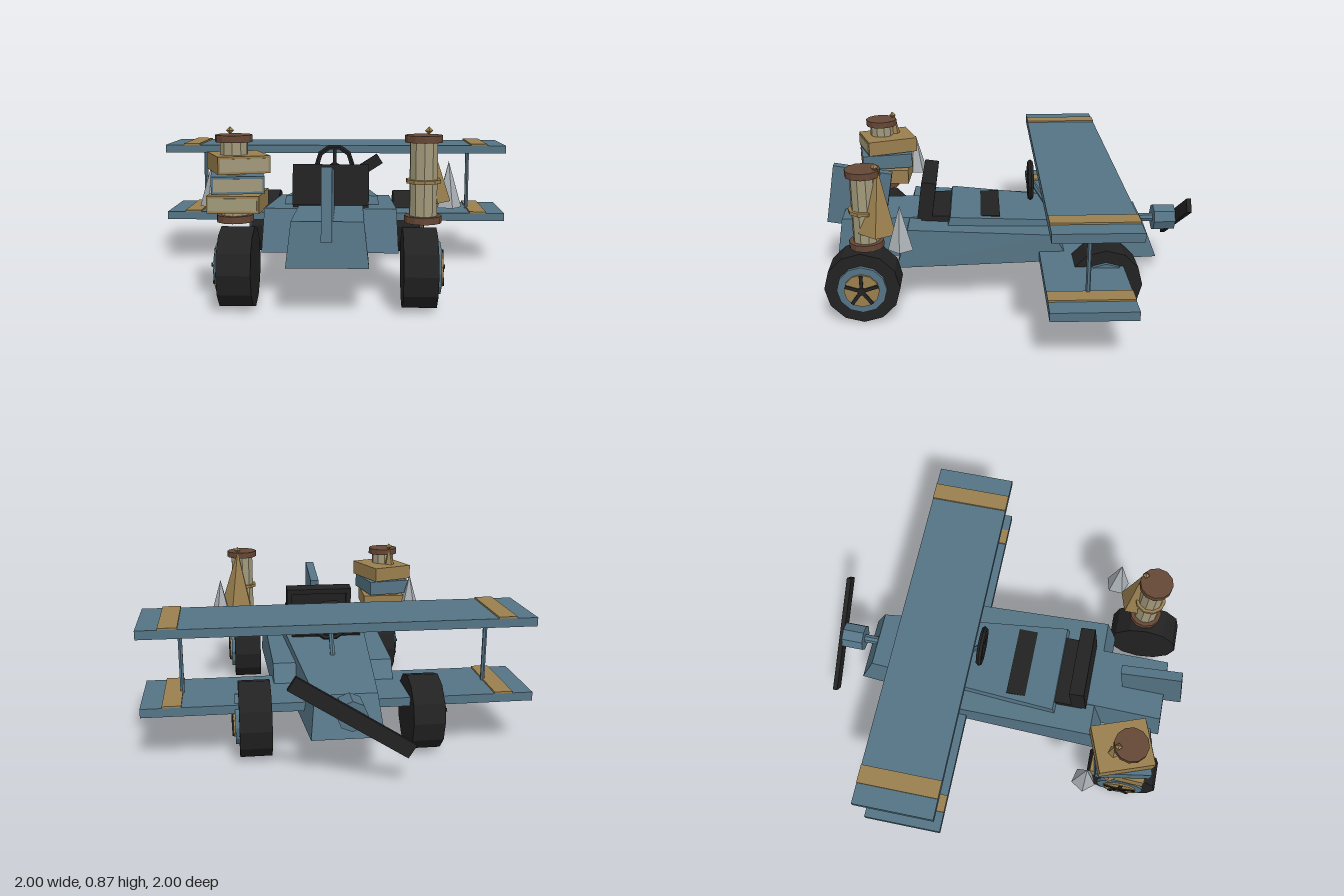
import * as THREE from 'three';

const mat = (name, color) => Object.assign(new THREE.MeshStandardMaterial({ color }), { name });

export function createModel() {
  const blue = mat('slate blue', 0x557485);
  const black = mat('charcoal', 0x222222);
  const tan = mat('tan', 0x9a7f4e);
  const cream = mat('cream', 0xa29a7b);
  const brown = mat('brown', 0x654736);
  const silver = mat('silver', 0xaab0b4);
  const root = new THREE.Group();
  root.name = 'biplaneCar';

  // Faceted mesh helper
  function add(name, geo, material, x = 0, y = 0, z = 0, parent = root) {
    const g = geo.index ? geo.toNonIndexed() : geo;
    g.computeVertexNormals();
    const m = new THREE.Mesh(g, material);
    m.name = name;
    m.position.set(x, y, z);
    parent.add(m);
    return m;
  }
  const box = (w, h, d) => new THREE.BoxGeometry(w, h, d);
  const cyl = (r, h, n, r2 = r) => new THREE.CylinderGeometry(r, r2, h, n);
  const group = (name, x, y, z, parent = root) => {
    const g = new THREE.Group();
    g.name = name;
    g.position.set(x, y, z);
    parent.add(g);
    return g;
  };

  // Tapered box; each end is [zTop, yTop, halfTop, zBottom, yBottom, halfBottom]
  function hull(nose, tail) {
    const g = box(2, 2, 2), p = g.attributes.position;
    for (let i = 0; i < p.count; i++) {
      const e = p.getZ(i) < 0 ? nose : tail, o = p.getY(i) > 0 ? 0 : 3;
      p.setXYZ(i, p.getX(i) * e[o + 2], e[o + 1], e[o]);
    }
    return g;
  }

  // Body
  add('fuselage', hull([-0.77, 0.4, 0.155, -0.85, 0.2, 0.18], [0.295, 0.478, 0.245, 0.38, 0.2, 0.27]), blue);
  add('sideBody', hull([-0.26, 0.4, 0.322, -0.35, 0.25, 0.322], [0.52, 0.445, 0.335, 0.585, 0.23, 0.345]), blue);
  add('tailBody', hull([0.45, 0.45, 0.165, 0.45, 0.23, 0.19], [0.89, 0.445, 0.17, 0.92, 0.23, 0.195]), blue);
  add('tailFin', box(0.05, 0.34, 0.325), blue, 0, 0.51, 0.81).rotation.x = -0.17;

  // Nose hub and propeller
  add('noseHub', cyl(0.075, 0.12, 8), blue, 0, 0.365, -0.915).rotation.x = Math.PI / 2;
  add('noseShaft', cyl(0.025, 0.12, 8), blue, 0, 0.365, -0.82).rotation.x = Math.PI / 2;
  add('propeller', box(0.67, 0.075, 0.025), black, 0, 0.365, -0.987).rotation.z = 0.57;

  // Wings with stripes and struts
  for (const [name, y] of [['upperWing', 0.682], ['lowerWing', 0.282]]) {
    add(name, box(2, 0.046, 0.425), blue, 0, y, -0.395);
    for (const s of [-1, 1]) add(name + 'Stripe', box(0.095, 0.009, 0.425), tan, s * 0.845, y + 0.0275, -0.395);
  }
  for (const s of [-1, 1]) add('wingStrut', cyl(0.012, 0.36, 6), blue, s * 0.8, 0.483, -0.385);

  // Seat
  add('seatCushion', box(0.39, 0.05, 0.43), black, 0, 0.441, 0.24);
  const back = group('seatBack', 0, 0.553, 0.422);
  back.rotation.x = -0.14;
  add('seatBackCore', box(0.36, 0.19, 0.06), black, 0, 0, 0.01, back);
  for (const s of [-1, 1]) {
    add('seatSideFrame', box(0.03, 0.21, 0.08), black, s * 0.18, 0, 0, back);
    add('seatCrossFrame', box(0.39, 0.03, 0.08), black, 0, s * 0.09, 0, back);
  }

  // Steering wheel and column
  const steering = group('steeringWheel', 0, 0.6, -0.15);
  add('steeringRim', new THREE.TorusGeometry(0.1, 0.015, 5, 10), black, 0, 0, 0, steering);
  for (let i = 0; i < 3; i++) {
    const a = Math.PI / 2 + i * Math.PI * 2 / 3;
    add('steeringSpoke', box(0.1, 0.02, 0.016), black, Math.cos(a) * 0.05, Math.sin(a) * 0.05, 0, steering).rotation.z = a;
  }
  add('steeringColumn', cyl(0.014, 0.22, 6), blue, 0, 0.51, -0.21).rotation.x = 0.55;

  // Wheels: the decorated face points outward
  for (const s of [-1, 1]) for (const z of [0.75, -0.515]) {
    const w = group('wheel', s * 0.435, 0.197, z);
    w.rotation.y = s * Math.PI / 2;
    const disc = (name, r, h, n, m, at) => { add(name, cyl(r, h, n), m, 0, 0, at, w).rotation.x = Math.PI / 2; };
    disc('tire', 0.197, 0.162, 12, black, 0);
    disc('rim', 0.13, 0.02, 12, blue, 0.09);
    disc('hubDisc', 0.092, 0.012, 12, tan, 0.104);
    disc('hubCap', 0.022, 0.014, 8, black, 0.112);
    for (let i = 0; i < 5; i++) {
      const a = Math.PI / 2 + i * Math.PI * 2 / 5;
      add('wheelSpoke', box(0.088, 0.018, 0.012), black, Math.cos(a) * 0.045, Math.sin(a) * 0.045, 0.111, w).rotation.z = a;
    }
  }

  // Canisters with a leaning cone, and loose silver cones
  for (const s of [-1, 1]) {
    const c = group('canister', s * 0.453, 0, 0.72);
    add('canisterBody', cyl(0.068, 0.38, 10), cream, 0, 0.625, 0, c);
    add('canisterBase', cyl(0.09, 0.034, 12), brown, 0, 0.432, 0, c);
    add('canisterLid', cyl(0.09, 0.034, 12), brown, 0, 0.817, 0, c);
    add('canisterBand', cyl(0.085, 0.018, 10), tan, 0, 0.615, 0, c);
    const cone = add('tanCone', new THREE.ConeGeometry(0.1, 0.34, 5), tan, s * 0.032, 0.675, -0.072, c);
    cone.rotation.set(-0.05, 0.3 * s, s * 0.03);
    add('coneTip', new THREE.OctahedronGeometry(0.02), tan, s * 0.028, 0.85, -0.065, c);
    add('silverCone', new THREE.ConeGeometry(0.066, 0.23, 5), silver, s * 0.592, 0.575, 0.53).rotation.y = s * 0.25;
  }

  // Stack of books with pale page edges
  const books = [
    [-0.44, 0.698, 0.685, 0.35, tan],
    [-0.444, 0.605, 0.7, 0.17, blue],
    [-0.44, 0.513, 0.7, -0.04, tan],
  ];
  for (const [x, y, z, turn, cover] of books) {
    const b = group('book', x, y, z);
    b.rotation.y = turn;
    add('bookCover', box(0.25, 0.083, 0.29), cover, 0, 0, 0, b);
    add('bookPages', box(0.23, 0.06, 0.006), cream, 0, 0, 0.146, b);
  }
  return root;
}
